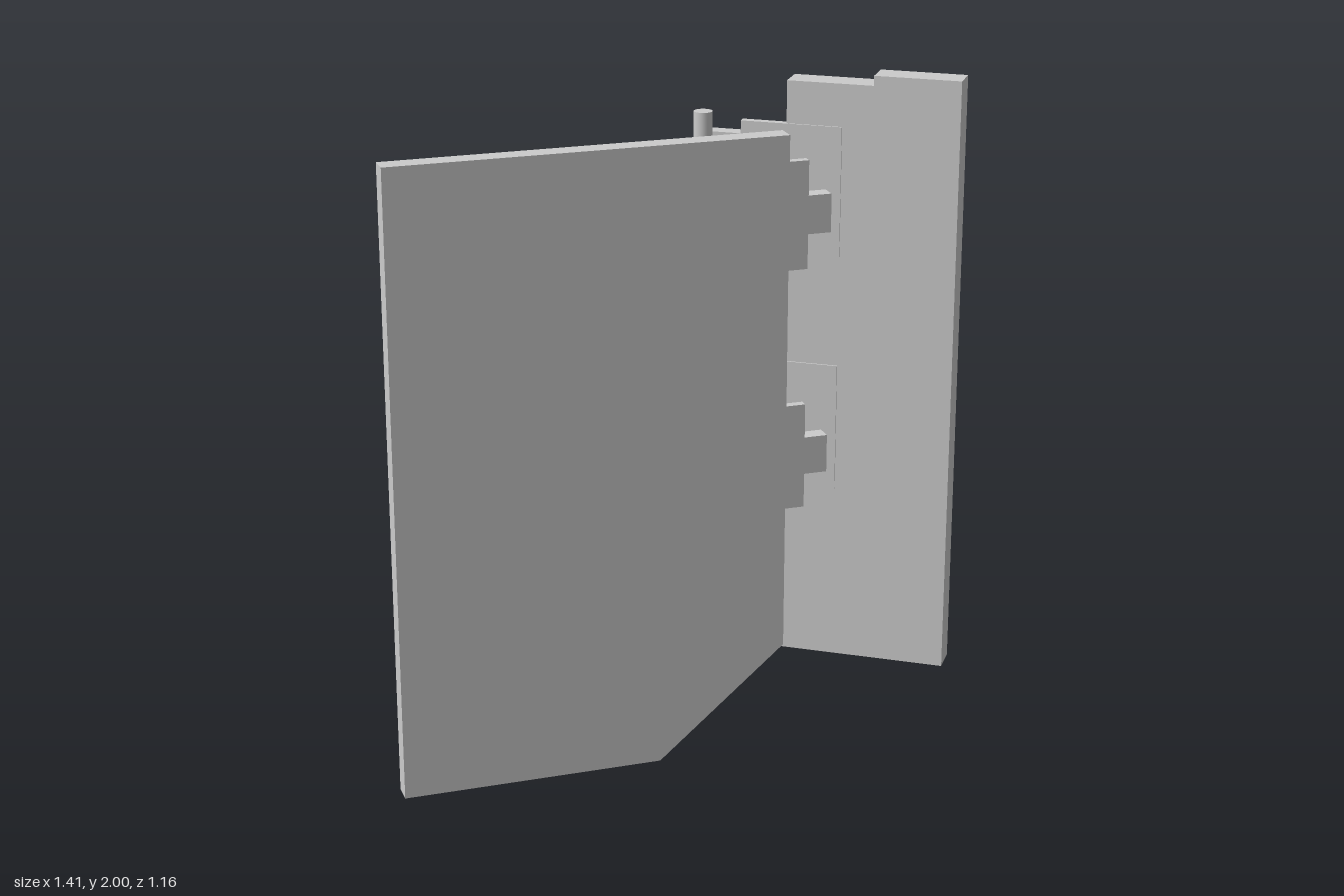
import * as THREE from 'three';

const mat = new THREE.MeshStandardMaterial({ color: 0xcccccc });
const SWING = THREE.MathUtils.degToRad(35); // opening angle of the door
const HINGE_Y = [1.64, 0.895]; // centre heights of the two hinges

function add(parent, name, geometry) {
  const mesh = new THREE.Mesh(geometry, mat);
  mesh.name = name;
  parent.add(mesh);
  return mesh;
}

// Box given by its limits on each axis
function box(parent, name, x0, x1, y0, y1, z0, z1) {
  const mesh = add(parent, name, new THREE.BoxGeometry(x1 - x0, y1 - y0, z1 - z0));
  mesh.position.set((x0 + x1) / 2, (y0 + y1) / 2, (z0 + z1) / 2);
  return mesh;
}

// Upright panel from an outline, extruded from z0 to z1
function panel(parent, name, points, z0, z1) {
  const shape = new THREE.Shape(points.map(([x, y]) => new THREE.Vector2(x, y)));
  const geo = new THREE.ExtrudeGeometry(shape, { depth: z1 - z0, bevelEnabled: false });
  const mesh = add(parent, name, geo);
  mesh.position.z = z0;
  return mesh;
}

export function createModel() {
  const model = new THREE.Group();
  model.name = 'explodedDoorHinge';

  // Swung-open door with a cut lower corner
  const door = new THREE.Group();
  door.name = 'door';
  door.position.set(-0.67, 0, 0.58);
  door.rotation.y = SWING;
  panel(door, 'doorPanel', [[0, 0], [0.787, 0], [1.178, 0.33], [1.178, 1.905], [0, 1.905]], -0.063, 0);
  model.add(door);

  // Fixed post with a step in its top edge
  panel(model, 'post',
    [[0.18, 0.135], [0.705, 0.135], [0.705, 2], [0.443, 2], [0.443, 1.97], [0.18, 1.97]], -0.585, -0.495);

  // Hinge leaves that turn with the door
  const doorLeaves = new THREE.Group();
  doorLeaves.name = 'doorLeaves';
  doorLeaves.rotation.y = SWING;
  model.add(doorLeaves);

  for (const y of HINGE_Y) {
    // Door leaf and its single tongue
    box(doorLeaves, 'doorLeaf', 0.155, 0.39, y - 0.163, y + 0.163, -0.026, 0);
    box(doorLeaves, 'doorTongue', 0.365, 0.461, y - 0.058, y + 0.058, -0.05, 0);

    // Post leaf with two arms
    box(model, 'postLeaf', 0.04, 0.35, y - 0.2, y + 0.2, -0.515, -0.49);
    for (const s of [1, -1]) {
      const a = y + s * 0.11;
      box(model, 'postArm', -0.082, 0.2, a - 0.05, a + 0.05, -0.54, -0.491);
    }

    // Bored block that rides on the pin
    const block = new THREE.Shape();
    block.moveTo(-0.0645, -0.0575).lineTo(0.0645, -0.0575).lineTo(0.0645, 0.0575).lineTo(-0.0645, 0.0575).closePath();
    const bore = new THREE.Path();
    bore.absarc(0, 0, 0.032, 0, Math.PI * 2, true);
    block.holes.push(bore);
    const geo = new THREE.ExtrudeGeometry(block, { depth: 0.18, bevelEnabled: false, curveSegments: 16 });
    geo.rotateX(-Math.PI / 2);
    add(model, 'pinBlock', geo).position.set(-0.0245, y - 0.09, -0.3385);
  }

  // Long hinge pin
  add(model, 'hingePin', new THREE.CylinderGeometry(0.028, 0.028, 1.31, 32)).position.set(-0.0245, 1.25, -0.31);

  return model;
}
